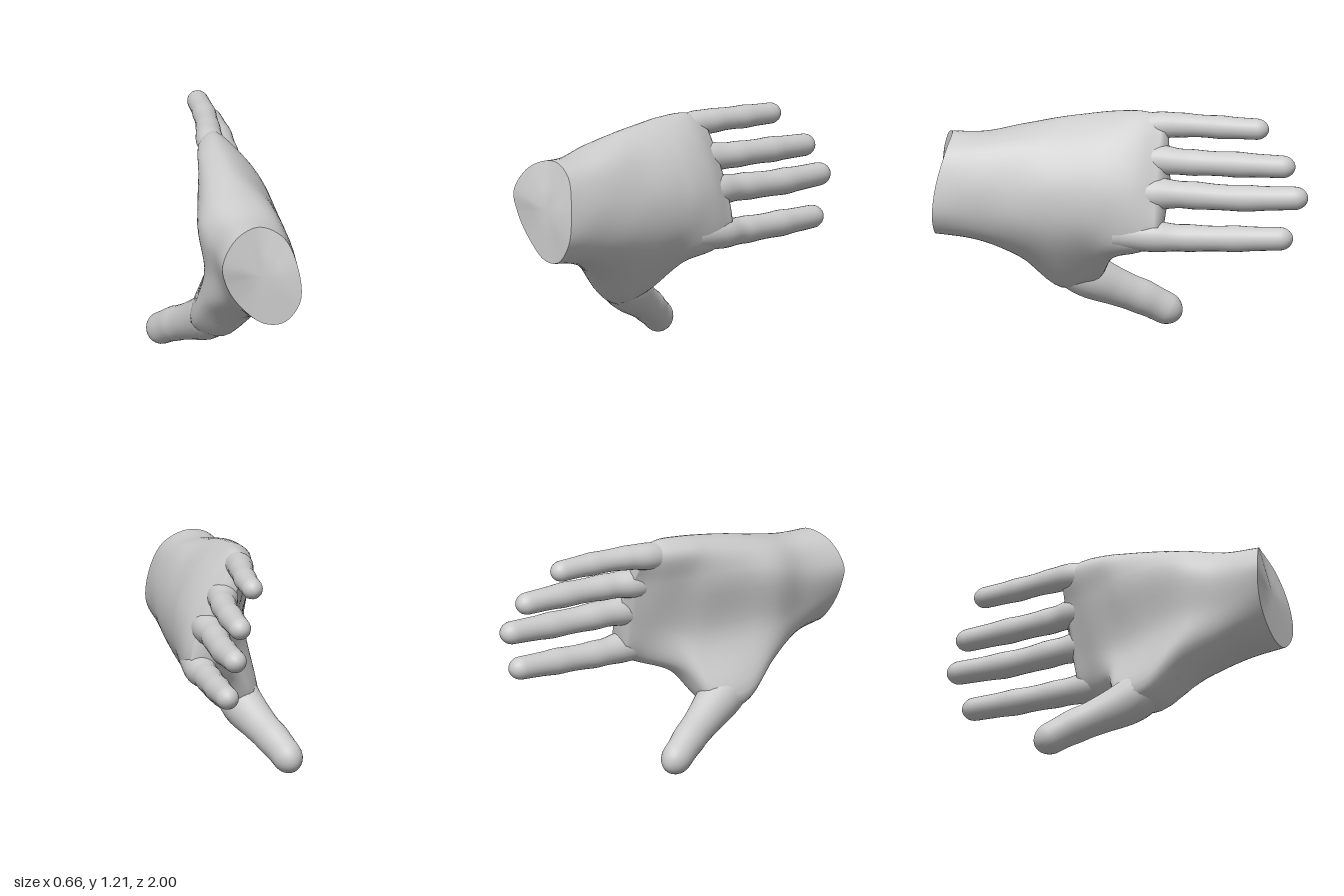
import * as THREE from 'three';

const V = (x, y, z) => new THREE.Vector3(x, y, z);
const material = new THREE.MeshStandardMaterial({ color: 0xcccccc });

// Skin a list of closed rings, closing the last ring on an end point.
function skin(name, rings, end) {
  const n = rings[0].length, index = [];
  const points = [...rings.flat(), end];
  for (let i = 0; i < rings.length; i++) {
    for (let j = 0; j < n; j++) {
      const a = i * n + j, b = i * n + (j + 1) % n;
      if (i === rings.length - 1) index.push(a, b, points.length - 1);
      else index.push(a, b, a + n, b, b + n, a + n);
    }
  }
  const geometry = new THREE.BufferGeometry().setFromPoints(points);
  geometry.setIndex(index);
  geometry.computeVertexNormals();
  const mesh = new THREE.Mesh(geometry, material);
  mesh.name = name;
  return mesh;
}

// Digit along a curve; each stop is [x, y, z, radius], with a rounded tip.
function digit(name, stops, joints, flat = 1) {
  const curve = new THREE.CatmullRomCurve3(stops.map(s => V(s[0], s[1], s[2])));
  const radii = new THREE.CatmullRomCurve3(stops.map(s => V(s[3], 0, 0)));
  const tipR = stops.at(-1)[3], length = curve.getLength();
  const tip = tipR * 1.15 / length, body = 30, round = 9, sides = 24;
  const rings = [];
  for (let i = 0; i < body + round; i++) {
    const k = Math.max(0, i - body) / round;
    const u = i <= body ? (1 - tip) * i / body : 1 - tip + tip * Math.sin(k * Math.PI / 2);
    const t = curve.getUtoTmapping(u);
    let r = radii.getPoint(t).x * Math.cos(k * Math.PI / 2);
    for (const j of joints) r *= 1 + 0.07 * Math.exp(-(((u - j) / 0.06) ** 2));
    const c = curve.getPoint(t), T = curve.getTangent(t);
    const B = T.clone().cross(V(0, 1, 0)).normalize(), N = B.clone().cross(T);
    rings.push(Array.from({ length: sides }, (_, j) => {
      const a = j / sides * Math.PI * 2;
      return c.clone().addScaledVector(B, Math.sin(a) * r * flat).addScaledVector(N, Math.cos(a) * r);
    }));
  }
  return skin(name, rings, curve.getPoint(1));
}

// Palm cross-sections, clockwise from the little finger edge over the back of the hand.
const sections = [
  [0.75, [[0.11, 1.09], [0.24, 1.04], [0.325, 0.86], [0.32, 0.68], [0.25, 0.56], [0.12, 0.52], [-0.03, 0.6], [-0.08, 0.75], [-0.1, 0.93], [-0.03, 1.06]]],
  [0.55, [[0.07, 1.13], [0.22, 1.07], [0.32, 0.86], [0.32, 0.66], [0.22, 0.5], [0.06, 0.42], [-0.11, 0.5], [-0.12, 0.72], [-0.15, 0.98], [-0.07, 1.1]]],
  [0.35, [[0.05, 1.175], [0.2, 1.08], [0.315, 0.87], [0.315, 0.65], [0.2, 0.44], [0, 0.25], [-0.16, 0.33], [-0.08, 0.68], [-0.13, 1.0], [-0.08, 1.13]]],
  [0.17, [[0.03, 1.205], [0.19, 1.1], [0.31, 0.87], [0.31, 0.65], [0.2, 0.46], [0, 0.29], [-0.13, 0.33], [-0.03, 0.66], [-0.1, 1.0], [-0.08, 1.15]]],
  [0.05, [[0.02, 1.22], [0.18, 1.11], [0.305, 0.87], [0.31, 0.66], [0.25, 0.51], [0.12, 0.45], [0, 0.5], [0.01, 0.7], [-0.06, 1.0], [-0.08, 1.16]]],
  [-0.1, [[0.02, 1.225], [0.14, 1.12], [0.27, 0.88], [0.3, 0.67], [0.27, 0.54], [0.2, 0.505], [0.13, 0.55], [0.06, 0.75], [-0.02, 1.0], [-0.06, 1.16]]],
  [-0.22, [[0.02, 1.19], [0.1, 1.09], [0.21, 0.87], [0.27, 0.67], [0.26, 0.58], [0.21, 0.55], [0.16, 0.59], [0.11, 0.76], [0.04, 1.0], [-0.02, 1.15]]],
];
// Slanted rim of the cut wrist.
const rim = [
  [0.12, 1.09, 0.91], [0.25, 1.02, 0.92], [0.32, 0.85, 0.96], [0.325, 0.68, 0.98], [0.24, 0.57, 0.98],
  [0.13, 0.57, 0.98], [0, 0.68, 0.98], [-0.07, 0.8, 0.99], [-0.09, 0.92, 1.0], [-0.01, 1.05, 0.96],
];

export function createModel() {
  const hand = new THREE.Group();
  hand.name = 'hand';

  // Palm and wrist: smooth each contour point along the arm, then around the section
  const tracks = rim.map((p, j) => new THREE.CatmullRomCurve3(
    [V(...p), ...sections.map(([z, s]) => V(s[j][0], s[j][1], z))]));
  const steps = 42, around = 60, palmRings = [];
  for (let i = 0; i <= steps; i++) {
    const loop = new THREE.CatmullRomCurve3(tracks.map(t => t.getPoint(i / steps)), true);
    palmRings.push(Array.from({ length: around }, (_, j) => loop.getPoint(j / around)));
  }
  hand.add(skin('palm', palmRings, V(0.13, 0.86, -0.26)));

  // Flat end of the wrist
  const edge = [...palmRings[0]].reverse();
  const centre = V(0.13, 0.83, 0.97);
  const inner = edge.map(p => p.clone().lerp(centre, 0.5));
  hand.add(skin('wristEnd', [edge, inner], centre));

  // Fingers, flaring into the knuckles
  const joints = [0.42, 0.68];
  hand.add(
    digit('littleFinger', [[0.04, 1.12, 0.02, 0.06], [0.01, 1.15, -0.17, 0.072], [0.02, 1.16, -0.3, 0.061], [0.03, 1.16, -0.52, 0.058], [0.02, 1.155, -0.765, 0.055]], joints),
    digit('ringFinger', [[0.12, 0.97, 0.02, 0.07], [0.1, 0.985, -0.18, 0.081], [0.12, 0.985, -0.33, 0.066], [0.125, 0.985, -0.6, 0.064], [0.11, 0.98, -0.925, 0.058]], joints),
    digit('middleFinger', [[0.19, 0.81, 0.02, 0.08], [0.175, 0.82, -0.18, 0.086], [0.17, 0.82, -0.33, 0.07], [0.17, 0.815, -0.62, 0.067], [0.145, 0.825, -1.0, 0.06]], joints),
    digit('indexFinger', [[0.22, 0.61, 0.02, 0.08], [0.22, 0.6, -0.18, 0.083], [0.205, 0.595, -0.33, 0.069], [0.195, 0.6, -0.6, 0.066], [0.175, 0.61, -0.925, 0.06]], joints),
  );

  // Thumb, growing out of the ball of the palm
  hand.add(digit('thumb', [
    [-0.03, 0.46, 0.46, 0.08], [-0.06, 0.32, 0.24, 0.12], [-0.13, 0.235, 0.08, 0.1],
    [-0.195, 0.17, -0.05, 0.087], [-0.245, 0.11, -0.15, 0.086], [-0.275, 0.06, -0.235, 0.08],
  ], [0.72], 0.92));
  return hand;
}
